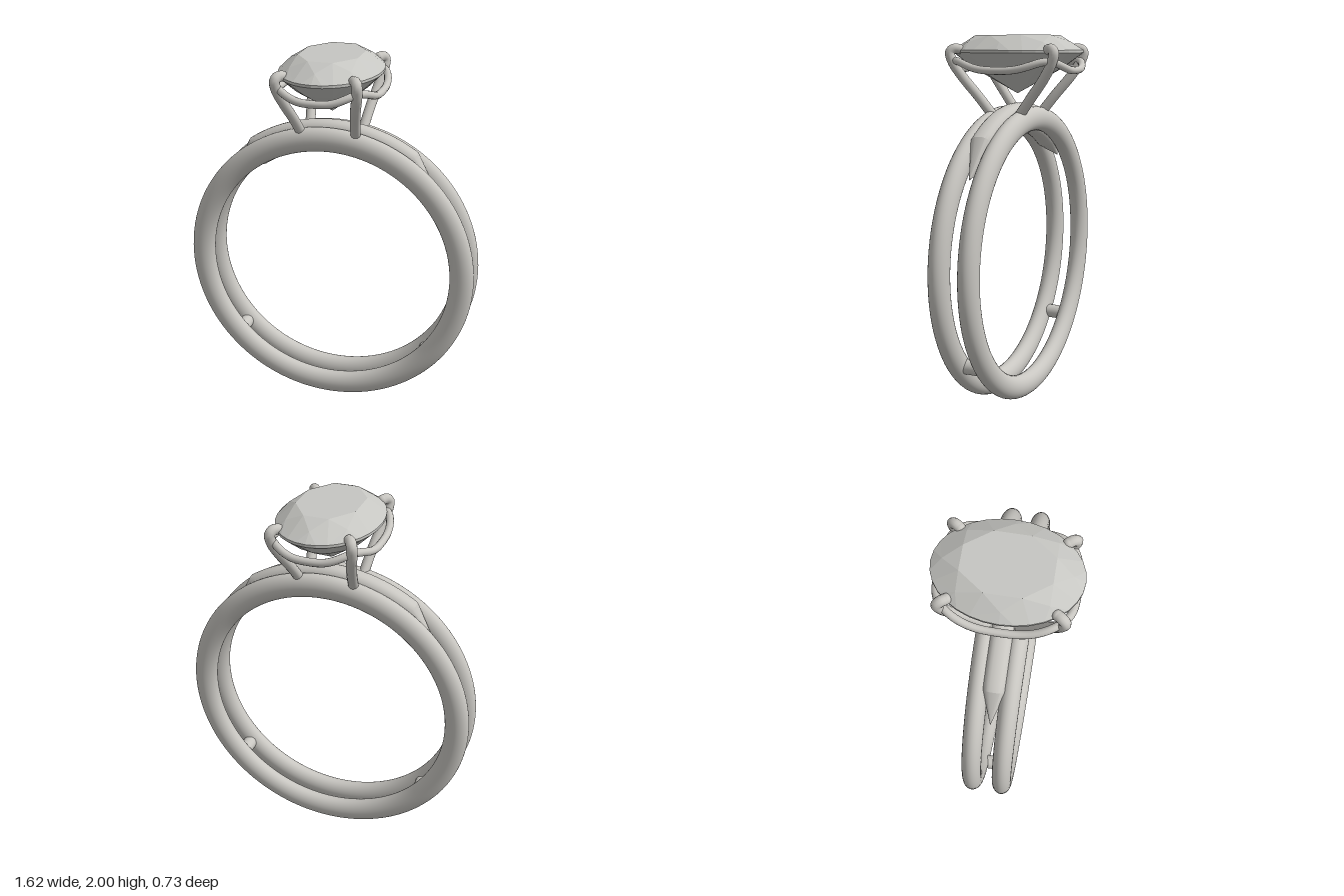
import * as THREE from 'three';
import { toCreasedNormals } from 'three/addons/utils/BufferGeometryUtils.js';

const V = (x, y, z) => new THREE.Vector3(x, y, z);
const CY = 0.81; // height of the band centre

// Oval brilliant: table, crown, girdle and pavilion facets
function stoneGeometry() {
  const pos = [], centre = V(0, 1.88, 0);
  const tri = (a, b, c) => {
    const n = b.clone().sub(a).cross(c.clone().sub(a));
    const out = a.clone().add(b).add(c).divideScalar(3).sub(centre);
    const order = n.dot(out) > 0 ? [a, b, c] : [a, c, b];
    order.forEach((p) => pos.push(p.x, p.y, p.z));
  };
  const ring = (n, rx, rz, y, offset = 0) => Array.from({ length: n }, (_, i) => {
    const t = ((i + offset) / n) * Math.PI * 2;
    return V(rx * Math.cos(t), y, rz * Math.sin(t));
  });
  const table = ring(8, 0.17, 0.236, 2, 0.5);
  const star = ring(8, 0.225, 0.308, 1.963);
  const top = ring(32, 0.268, 0.365, 1.922);
  const low = ring(32, 0.268, 0.365, 1.908);
  const mid = ring(16, 0.19, 0.26, 1.83);
  const tip = V(0, 1.69, 0), tableMid = V(0, 2, 0);
  for (let k = 0; k < 8; k++) {
    const n = (k + 1) % 8, p = (k + 7) % 8;
    tri(tableMid, table[k], table[n]);
    tri(table[p], table[k], star[k]);
    const g = (4 * k + 2) % 32;
    tri(table[k], star[k], top[g]);
    tri(table[k], top[g], star[n]);
    for (let j = -2; j < 2; j++) tri(star[k], top[(4 * k + j + 32) % 32], top[(4 * k + j + 33) % 32]);
  }
  for (let i = 0; i < 32; i++) {
    const n = (i + 1) % 32;
    tri(top[i], top[n], low[i]);
    tri(top[n], low[n], low[i]);
  }
  for (let i = 0; i < 16; i++) {
    const n = (i + 1) % 16, a = 2 * i, b = 2 * i + 1, c = (2 * i + 2) % 32;
    tri(low[a], low[b], mid[i]);
    tri(low[b], mid[n], mid[i]);
    tri(low[b], low[c], mid[n]);
    tri(mid[i], mid[n], tip);
  }
  const geo = new THREE.BufferGeometry();
  geo.setAttribute('position', new THREE.Float32BufferAttribute(pos, 3));
  geo.computeVertexNormals();
  return geo;
}

// Curved filler between the bands, tapering to a point at both ends
function saddleGeometry() {
  const pos = [], idx = [], sides = 28, arc = 34, end = 50;
  const angles = [-end];
  for (let i = 0; i <= 24; i++) angles.push(-arc + (2 * arc * i) / 24);
  angles.push(end);
  const power = (v) => Math.sign(v) * Math.abs(v) ** 0.75;
  angles.forEach((deg) => {
    const a = THREE.MathUtils.degToRad(deg);
    const s = Math.abs(deg) === end ? 0.005 : 1;
    for (let j = 0; j < sides; j++) {
      const t = (j / sides) * Math.PI * 2;
      const r = 0.748 + 0.082 * s * power(Math.cos(t));
      pos.push(r * Math.sin(a), CY + r * Math.cos(a), 0.062 * s * power(Math.sin(t)));
    }
  });
  for (let i = 0; i < angles.length - 1; i++) {
    for (let j = 0; j < sides; j++) {
      const a = i * sides + j, b = i * sides + ((j + 1) % sides);
      idx.push(a, b, a + sides, b, b + sides, a + sides);
    }
  }
  const geo = new THREE.BufferGeometry();
  geo.setAttribute('position', new THREE.Float32BufferAttribute(pos, 3));
  geo.setIndex(idx);
  return toCreasedNormals(geo, 0.5);
}

export function createModel() {
  const model = new THREE.Group();
  model.name = 'ring';
  const metal = new THREE.MeshStandardMaterial({ color: 0xc8c6c1 });
  metal.name = 'metal';
  const gem = new THREE.MeshStandardMaterial({ color: 0xc6c6c2 });
  gem.name = 'gem';
  const add = (name, geo, mat = metal, parent = model) => {
    const mesh = new THREE.Mesh(geo, mat);
    mesh.name = name;
    parent.add(mesh);
    return mesh;
  };

  // Twin bands
  for (const s of [1, -1]) {
    const band = add(s > 0 ? 'frontBand' : 'backBand', new THREE.TorusGeometry(0.745, 0.065, 28, 120));
    band.scale.z = 0.8;
    band.position.set(0, CY, s * 0.082);
  }
  add('saddle', saddleGeometry());

  // Small bridges joining the bands low on each side
  for (const s of [1, -1]) {
    const bridge = add('bridge', new THREE.CylinderGeometry(0.04, 0.04, 0.12, 24));
    bridge.rotation.x = Math.PI / 2;
    bridge.position.set(s * 0.55, 0.31, 0);
  }

  // Four claws, hooked over the edge of the stone
  for (const sx of [1, -1]) for (const sz of [1, -1]) {
    const claw = new THREE.Group();
    claw.name = 'claw';
    model.add(claw);
    const path = [
      [0.15, 1.59, 0.085], [0.165, 1.68, 0.155], [0.188, 1.78, 0.235], [0.207, 1.86, 0.285],
      [0.21, 1.91, 0.298], [0.199, 1.928, 0.28], [0.183, 1.926, 0.257],
    ].map(([x, y, z]) => V(sx * x, y, sz * z));
    const curve = new THREE.CatmullRomCurve3(path);
    add('clawWire', new THREE.TubeGeometry(curve, 40, 0.027, 14), metal, claw);
    for (const p of [path[0], path[6]]) {
      add('clawEnd', new THREE.SphereGeometry(0.027, 16, 12), metal, claw).position.copy(p);
    }
  }

  // Gallery wire: rounded oval that dips between the claws
  const rail = [];
  for (let i = 0; i < 48; i++) {
    const t = (i / 48) * Math.PI * 2, c = Math.cos(t), s = Math.sin(t);
    const power = (v) => Math.sign(v) * Math.abs(v) ** 0.68;
    rail.push(V(0.268 * power(c), 1.865 - 0.047 * Math.cos(2 * t) ** 2, 0.334 * power(s)));
  }
  add('galleryWire', new THREE.TubeGeometry(new THREE.CatmullRomCurve3(rail, true), 128, 0.02, 12, true));

  add('stone', stoneGeometry(), gem);
  return model;
}
